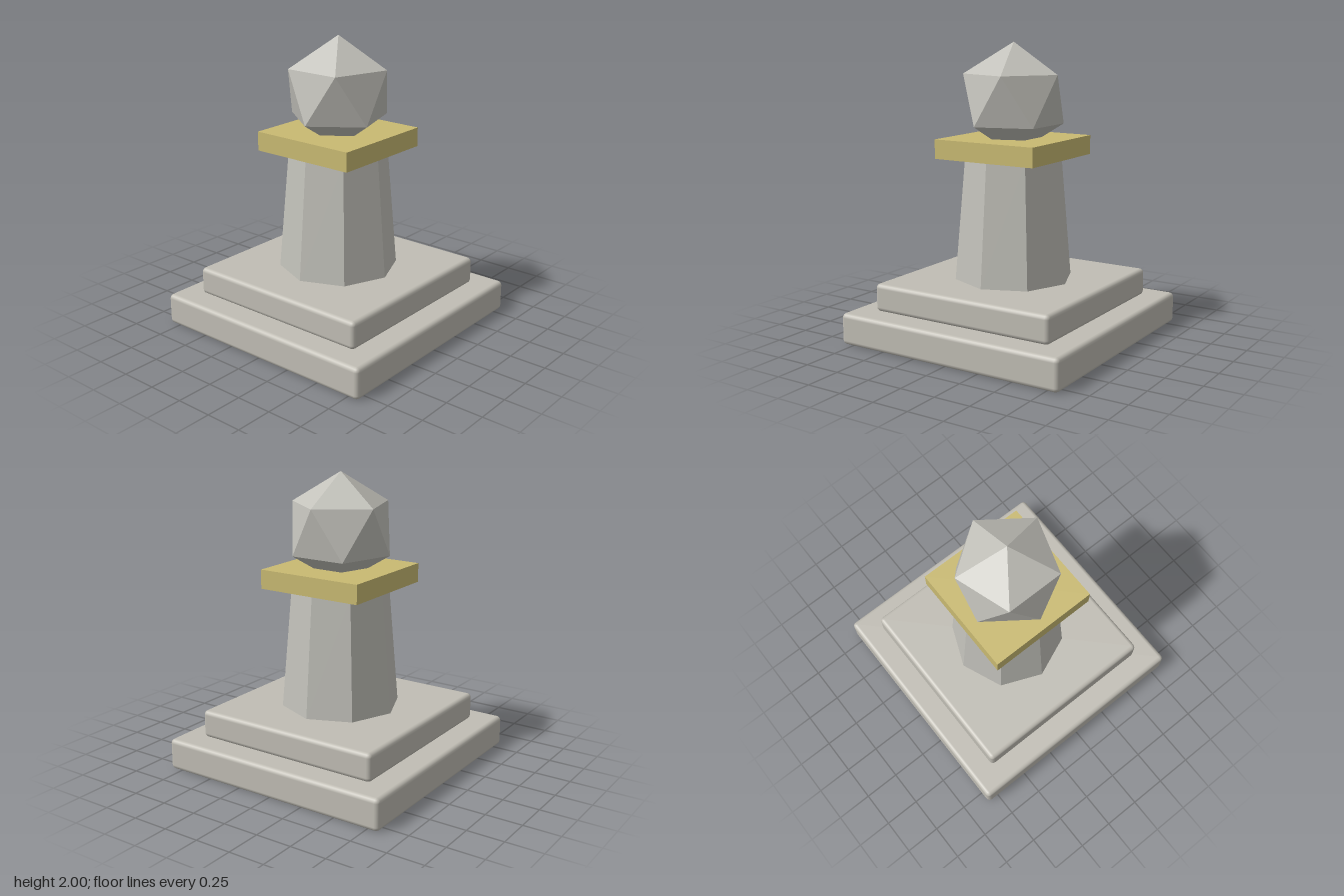
import * as THREE from 'three';
import { RoundedBoxGeometry } from 'three/addons/geometries/RoundedBoxGeometry.js';

export function createModel() {
  const model = new THREE.Group();
  model.name = 'monument';

  const material = (name, color, flatShading = false) => {
    const m = new THREE.MeshStandardMaterial({ color, flatShading });
    m.name = name;
    return m;
  };
  const baseStone = material('base stone', 0xc0bdb4);
  const paleStone = material('pale stone', 0xc2c1ba, true);
  const gold = material('gold', 0xc9ba72);

  const add = (name, geometry, mat, y) => {
    const mesh = new THREE.Mesh(geometry, mat);
    mesh.name = name;
    mesh.position.y = y;
    model.add(mesh);
  };

  // Two stepped slabs with softened edges
  const slab = (name, width, bottom, top) =>
    add(name, new RoundedBoxGeometry(width, top - bottom, width, 2, 0.03), baseStone, (bottom + top) / 2);
  slab('lowerStep', 1.67, 0, 0.215);
  slab('upperStep', 1.345, 0.215, 0.405);

  // Tapered eight-sided shaft, a corner facing front
  add('shaft', new THREE.CylinderGeometry(0.333, 0.405, 0.835, 8), paleStone, 0.8175);

  // Square capital
  add('capital', new THREE.BoxGeometry(0.757, 0.13, 0.757), gold, 1.3);

  // Faceted finial, turned so one corner points straight up
  const finial = new THREE.IcosahedronGeometry(0.376, 0);
  finial.rotateZ(-Math.atan(2 / (1 + Math.sqrt(5))));
  add('finial', finial, paleStone, 1.624);

  return model;
}
